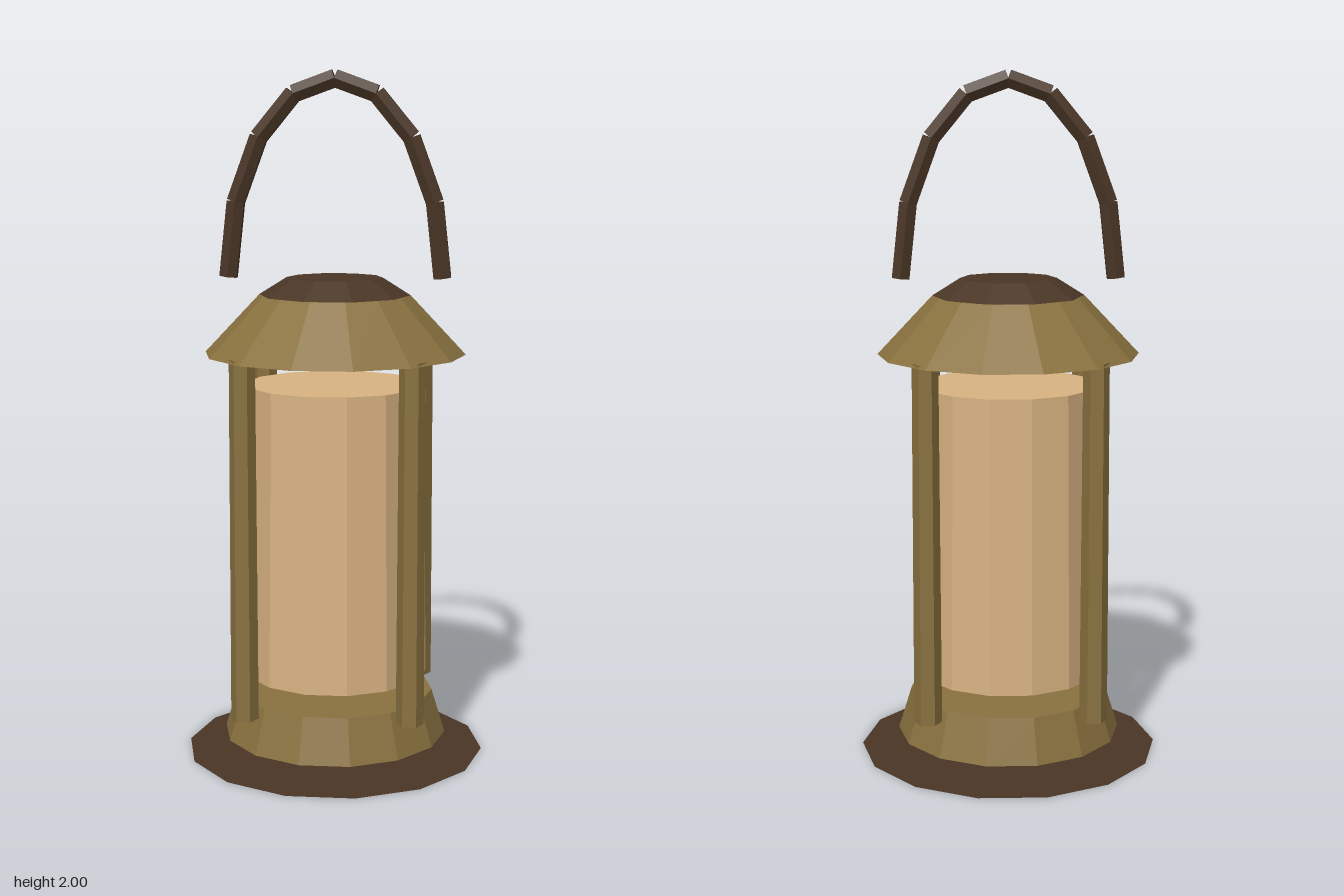
import * as THREE from 'three';

const flat = (name, color, side = THREE.FrontSide) =>
  new THREE.MeshStandardMaterial({ name, color, side, flatShading: true });

export function createModel() {
  const lantern = new THREE.Group();
  lantern.name = 'lantern';
  const brass = flat('aged brass', 0x8a7240);
  const iron = flat('dark iron', 0x4a3626);
  const ironSheet = flat('dark iron sheet', 0x4a3626, THREE.DoubleSide);
  const glass = flat('warm glass', 0xdab482);

  const add = (name, geometry, material, parent = lantern) => {
    const mesh = new THREE.Mesh(geometry, material);
    mesh.name = name;
    parent.add(mesh);
    return mesh;
  };

  // Tapered drum between two heights, with a corner pointing along +x
  const drum = (name, rTop, rBottom, y0, y1, sides, material) => {
    const g = new THREE.CylinderGeometry(rTop, rBottom, y1 - y0, sides);
    g.rotateY(Math.PI / 2).translate(0, (y0 + y1) / 2, 0);
    return add(name, g, material);
  };

  // Thin foot plate
  add('footPlate', new THREE.CircleGeometry(0.44, 14).rotateX(-Math.PI / 2), ironSheet);

  // Body, from the base up to the cap
  drum('base', 0.29, 0.33, 0.05, 0.18, 14, brass);
  drum('glassChimney', 0.26, 0.272, 0.24, 1.1, 14, glass);
  drum('roof', 0.22, 0.38, 1.19, 1.36, 14, brass);
  drum('roofCap', 0.14, 0.22, 1.36, 1.41, 10, iron);

  // Four corner posts
  for (const x of [-1, 1]) {
    for (const z of [-1, 1]) {
      const post = drum('post', 0.037, 0.04, 0.155, 1.2, 6, brass);
      post.position.set(0.238 * x, 0, 0.238 * z);
    }
  }

  // Arched handle made of eight straight bars
  const handle = new THREE.Group();
  handle.name = 'handle';
  lantern.add(handle);
  const archPoint = (i) => {
    const t = (i * Math.PI) / 8;
    return new THREE.Vector3(0.31 * Math.cos(t), 1.41 + 0.565 * Math.sin(t), 0);
  };
  const up = new THREE.Vector3(0, 1, 0);
  for (let i = 0; i < 8; i++) {
    const a = archPoint(i);
    const b = archPoint(i + 1);
    const bar = add('handleBar', new THREE.CylinderGeometry(0.029, 0.029, a.distanceTo(b), 6), iron, handle);
    bar.position.copy(a).lerp(b, 0.5);
    bar.quaternion.setFromUnitVectors(up, b.sub(a).normalize());
  }
  return lantern;
}
